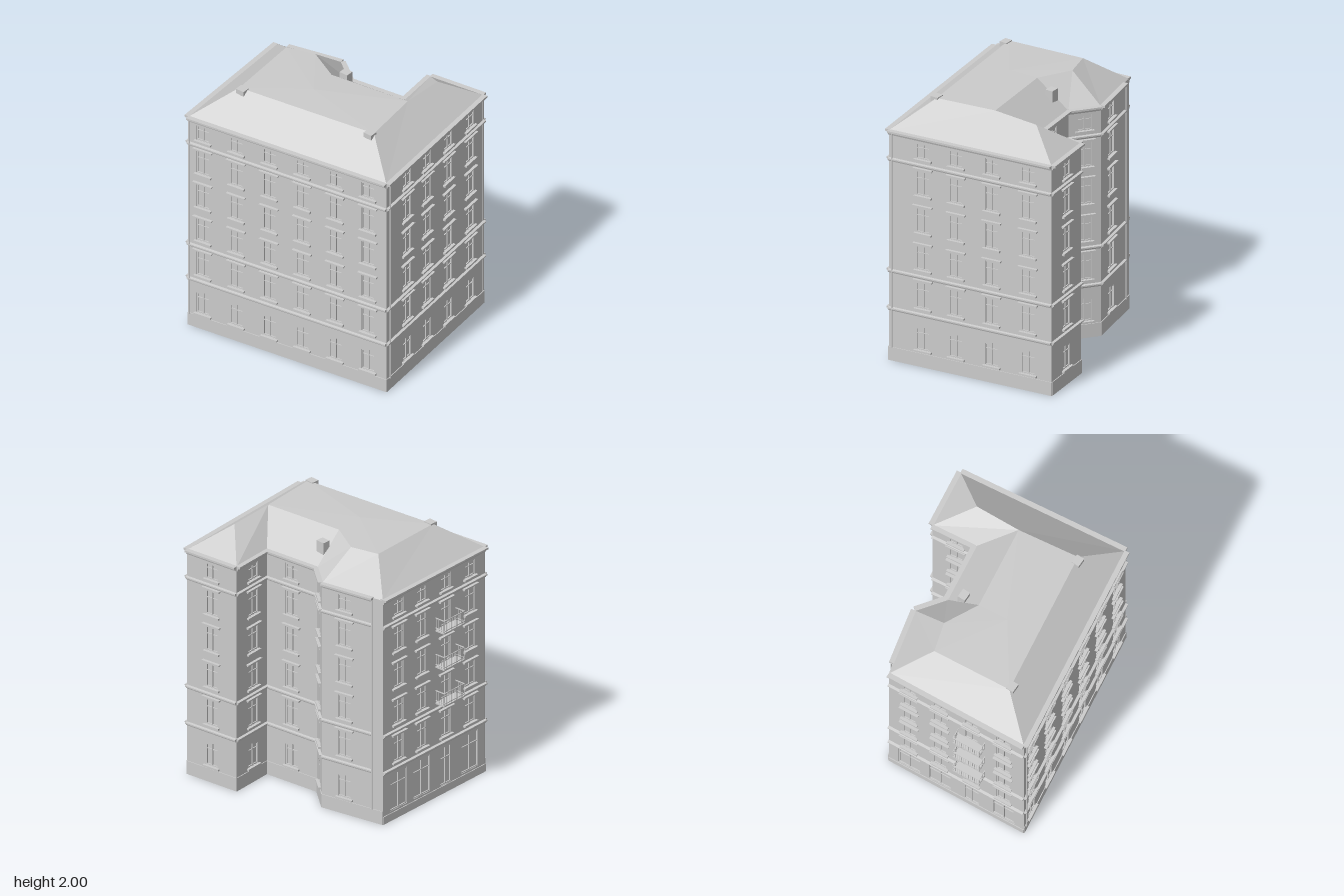
import * as THREE from 'three';

const mat = new THREE.MeshStandardMaterial({ color: 0xcccccc, side: THREE.DoubleSide, flatShading: true });
const EAVE = 1.79;

// Footprint corners (x, z), starting at the front corner on -x and running along the front
const plan = [[-0.77, 0.76], [0.86, 0.54], [0.703, -0.765], [0.26, -0.71],
  [0.30, -0.365], [-0.15, -0.31], [-0.345, -0.455], [-0.845, -0.345]];

// Storeys: window bottom, window top, kind
const storeys = [[0.13, 0.315, 'arch'], [0.455, 0.655, 'hood'], [0.755, 0.94, 'hood'],
  [1.045, 1.235, 'hood'], [1.335, 1.525, 'hood'], [1.62, 1.74, 'plain']];

// Window columns per wall, as distances along the wall
const columns = [
  [0.126, 0.402, 0.676, 0.949, 1.222, 1.493],
  [0.277, 0.544, 0.832, 1.126],
  [0.225], [0.19], [0.225], [0.121], [0.19],
  [0.17, 0.42, 0.68, 0.94],
];

function add(parent, geometry, name, x = 0, y = 0, z = 0) {
  const m = new THREE.Mesh(geometry, mat);
  m.name = name;
  m.position.set(x, y, z);
  parent.add(m);
  return m;
}
const box = (parent, name, w, h, d, x, y, z) => add(parent, new THREE.BoxGeometry(w, h, d), name, x, y, z);

// Rectangle outline, optionally with a shallow arched head
function outline(Type, x0, x1, y0, y1, arch) {
  const s = new Type();
  const spring = arch ? y1 - 0.02 : y1;
  s.moveTo(x0, y0);
  s.lineTo(x1, y0);
  s.lineTo(x1, spring);
  if (arch) s.quadraticCurveTo((x0 + x1) / 2, y1 + 0.02, x0, spring);
  else s.lineTo(x0, spring);
  s.closePath();
  return s;
}

// Moulding: profile of (outward, y) points run along a wall
function moulding(parent, name, points, length, y) {
  const shape = new THREE.Shape(points.map(p => new THREE.Vector2(...p)));
  const g = new THREE.ExtrudeGeometry(shape, { depth: length, bevelEnabled: false });
  g.rotateY(-Math.PI / 2).translate(length, 0, 0);
  add(parent, g, name, 0, y, 0);
}
const bandProfile = [[-0.005, -0.014], [0.008, -0.014], [0.012, -0.004], [0.02, 0], [0.02, 0.01], [-0.005, 0.014]];
const eaveProfile = [[-0.025, -0.03], [0.008, -0.03], [0.014, -0.014], [0.03, -0.008], [0.03, 0.006], [-0.025, 0.006]];

// Recessed glazing, frame, glazing bars, sill and hood
function windowUnit(parent, o) {
  const { x, w, y0, y1, kind } = o;
  const g = new THREE.Group();
  g.name = kind === 'door' ? 'door' : 'window';
  const h = y1 - y0, arch = kind === 'arch', t = 0.008;
  const frame = outline(THREE.Shape, -w / 2, w / 2, 0, h, arch);
  add(g, new THREE.ShapeGeometry(frame, 6), 'pane', 0, 0, -0.013);
  frame.holes.push(outline(THREE.Path, -w / 2 + t, w / 2 - t, t, h - t, arch));
  add(g, new THREE.ExtrudeGeometry(frame, { depth: 0.008, bevelEnabled: false, curveSegments: 6 }), 'frame', 0, 0, -0.012);
  box(g, 'mullion', t, h - t, 0.008, 0, h / 2 - t / 4, -0.008);
  box(g, 'transom', w - t, 0.006, 0.007, 0, h * 0.7, -0.008);
  if (kind !== 'shop' && kind !== 'door') box(g, 'sill', w + 0.03, 0.014, 0.022, 0, -0.008, 0.009);
  if (kind === 'hood') {
    box(g, 'hoodBase', w + 0.03, 0.01, 0.012, 0, h + 0.01, 0.005);
    box(g, 'hood', w + 0.046, 0.01, 0.024, 0, h + 0.02, 0.01);
  }
  g.position.set(x, y0, 0);
  parent.add(g);
}

// Balcony with slab, rails and balusters
function balcony(parent, x, y) {
  const g = new THREE.Group();
  g.name = 'balcony';
  const w = 0.22, d = 0.085, h = 0.1;
  box(g, 'slab', w, 0.012, d, 0, 0, d / 2);
  for (const ry of [0.02, h]) {
    box(g, 'frontRail', w, 0.006, 0.006, 0, ry, d - 0.003);
    for (const s of [-1, 1]) box(g, 'sideRail', 0.006, 0.006, d, s * (w / 2 - 0.003), ry, d / 2);
  }
  for (let i = 0; i <= 12; i++)
    box(g, 'baluster', 0.003, h, 0.003, (i / 12 - 0.5) * (w - 0.006), h / 2, d - 0.003);
  for (const s of [-1, 1]) for (let i = 0; i < 4; i++)
    box(g, 'baluster', 0.003, h, 0.003, s * (w / 2 - 0.003), h / 2, 0.01 + i * 0.02);
  g.position.set(x, y, 0);
  parent.add(g);
}

// One wall in its own frame: x along the wall, z outward
function wall(i) {
  const [ax, az] = plan[i], [bx, bz] = plan[(i + 1) % plan.length];
  const len = Math.hypot(bx - ax, bz - az);
  const g = new THREE.Group();
  g.name = 'facade' + (i + 1);
  g.position.set(ax, 0, az);
  g.rotation.y = Math.atan2(az - bz, bx - ax);

  const shopSide = i === 7;
  const face = outline(THREE.Shape, 0, len, 0, EAVE, false);
  columns[i].forEach((x, c) => storeys.forEach(([b, t, k], level) => {
    const o = { x, w: 0.11, y0: b, y1: t, kind: k };
    if (shopSide && level === 0)
      Object.assign(o, c === 2 ? { w: 0.12, y0: 0.065, y1: 0.365, kind: 'door' } : { w: 0.18, y0: 0.075, y1: 0.365, kind: 'shop' });
    const balconyDoor = shopSide && c === 2 && level >= 2 && level <= 4;
    if (balconyDoor) balcony(g, x, b - 0.005);
    face.holes.push(outline(THREE.Path, x - o.w / 2, x + o.w / 2, o.y0, o.y1, o.kind === 'arch'));
    windowUnit(g, o);
  }));
  add(g, new THREE.ExtrudeGeometry(face, { depth: 0.015, bevelEnabled: false, curveSegments: 6 }), 'wall', 0, 0, -0.015);

  const plinth = shopSide ? 0.06 : 0.105;
  box(g, 'plinth', len, plinth, 0.012, len / 2, plinth / 2, 0);
  const run = i === 6 ? 0.43 : len;
  for (const y of [0.405, 0.7, 1.57]) moulding(g, 'stringCourse', bandProfile, run, y);
  moulding(g, 'eavesCornice', eaveProfile, run, EAVE);

  // Rainwater pipe
  const pipeAt = { 0: 0.02, 1: 0.03, 6: 0.43 }[i];
  if (pipeAt !== undefined)
    add(g, new THREE.CylinderGeometry(0.006, 0.006, 1.67, 8), 'drainpipe', pipeAt, 0.94, 0.014);
  return g;
}

// Hipped roof: sloping sides rising to a raised flat, with a ridge over the rear wing
function roof() {
  const top = 1.992;
  const eave = plan.map(([x, z]) => [x, EAVE, z]);
  const a = [-0.53, top, 0.475], b = [0.575, top, 0.325], c = [0.50, 1.968, -0.49], d = [0.51, top, -0.14],
    e = [-0.12, top, -0.06], f = [-0.37, top, -0.19], k = [-0.585, top, -0.13];
  // Inner edge of the slope above each wall, from its end back to its start
  const upper = [[b, a], [c, d, b], [c], [d, c], [e, d], [f, e], [k, f], [a, k]];
  const pos = [];
  const fan = pts => {
    for (let n = 1; n < pts.length - 1; n++) pos.push(...pts[0], ...pts[n], ...pts[n + 1]);
  };
  upper.forEach((u, i) => {
    const s = eave[i], t = eave[(i + 1) % 8];
    if (u.length === 3) { fan([s, t, u[0], u[1]]); fan([s, u[1], u[2]]); }
    else fan([s, t, ...u]);
  });
  // Flat, gently crowned toward the middle
  const rim = [a, b, d, e, f, k], crown = [-0.1, 2.0, 0.17];
  rim.forEach((p, i) => fan([p, rim[(i + 1) % rim.length], crown]));
  const g = new THREE.BufferGeometry();
  g.setAttribute('position', new THREE.Float32BufferAttribute(pos, 3));
  g.computeVertexNormals();
  return g;
}

export function createModel() {
  const model = new THREE.Group();
  model.name = 'apartmentBuilding';
  plan.forEach((_, i) => model.add(wall(i)));
  add(model, roof(), 'roof');
  // Chimneys: x, z, top, height
  for (const [x, z, top, h] of [[-0.5, 0.48, 2.0, 0.04], [0.55, 0.34, 2.0, 0.04], [-0.1, -0.2, 1.95, 0.1]])
    box(model, 'chimney', 0.07, h, 0.06, x, top - h / 2, z);
  return model;
}
